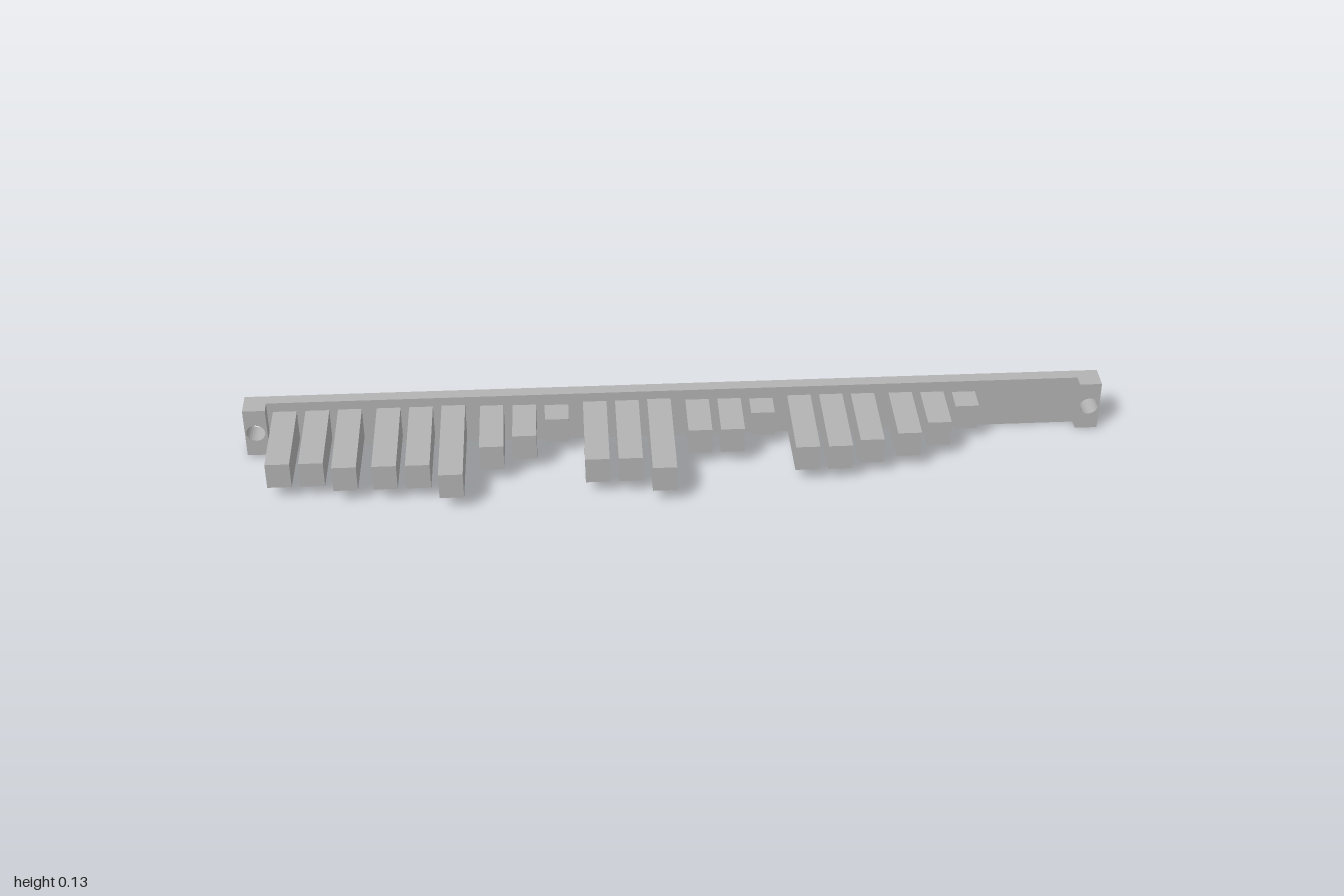
import * as THREE from 'three';

const MID_Y = 0.0633;      // height of the centre line
const BACK_Z = -0.149;     // rear face of the rail
const RAIL_Z = -0.12;      // front face of the rail, where the teeth start
const BOSS_Z = -0.091;     // front face of the end bosses
const DRAFT = 0.036;       // moulding draft, per unit of depth

// Narrow a shape in y toward the front, halfHeight(z) giving its profile
function draft(geometry, nominalHalf, halfHeight) {
  const p = geometry.attributes.position;
  for (let i = 0; i < p.count; i++) {
    p.setY(i, p.getY(i) * halfHeight(p.getZ(i)) / nominalHalf);
  }
  geometry.computeVertexNormals();
  return geometry;
}

// Rectangular slab from z0 to z1 with round holes at the given x positions
function drilledSlab(xMin, xMax, z0, z1, holes) {
  const half = 0.0633;
  const shape = new THREE.Shape();
  shape.moveTo(xMin, -half);
  shape.lineTo(xMax, -half);
  shape.lineTo(xMax, half);
  shape.lineTo(xMin, half);
  shape.closePath();
  for (const x of holes) {
    const hole = new THREE.Path();
    hole.absarc(x, 0, 0.022, 0, Math.PI * 2, true);
    shape.holes.push(hole);
  }
  const geometry = new THREE.ExtrudeGeometry(shape, {
    depth: z1 - z0, bevelEnabled: false, curveSegments: 12,
  });
  geometry.translate(0, 0, z0);
  return draft(geometry, half, (z) => half - (z - BACK_Z) * DRAFT * 1.3);
}

export function createModel() {
  const group = new THREE.Group();
  const grey = new THREE.MeshStandardMaterial({ color: 0xb2b2b2 });
  grey.name = 'grey plastic';

  const add = (name, geometry, x = 0) => {
    const mesh = new THREE.Mesh(geometry, grey);
    mesh.name = name;
    mesh.position.set(x, MID_Y, 0);
    group.add(mesh);
  };

  // Long back rail with a screw hole at each end
  add('rail', drilledSlab(-1, 1, BACK_Z, RAIL_Z, [-0.975, 0.975]));

  // Raised mounting bosses around the screw holes
  add('rightBoss', drilledSlab(-1, -0.948, RAIL_Z, BOSS_Z, [-0.975]));
  add('leftBoss', drilledSlab(0.948, 1, RAIL_Z, BOSS_Z, [0.975]));

  // Seven groups of three teeth, each given by its front z
  const toothEnds = [
    [0.087, 0.087, 0.108],
    [0.108, 0.108, 0.15],
    [0.044, 0.004, -0.061],
    [0.108, 0.108, 0.15],
    [0.004, 0.004, -0.061],
    [0.087, 0.087, 0.066],
    [0.044, 0.004, -0.061],
  ];
  toothEnds.forEach((ends, g) => ends.forEach((end, i) => {
    const length = end - RAIL_Z;
    const tooth = new THREE.BoxGeometry(0.055, 0.062, length);
    tooth.translate(0, 0, RAIL_Z + length / 2);
    draft(tooth, 0.031, (z) => 0.031 + (end - z) * DRAFT);
    add(`tooth${g * 3 + i + 1}`, tooth, -0.907 + g * 0.2393 + i * 0.075);
  }));

  return group;
}
